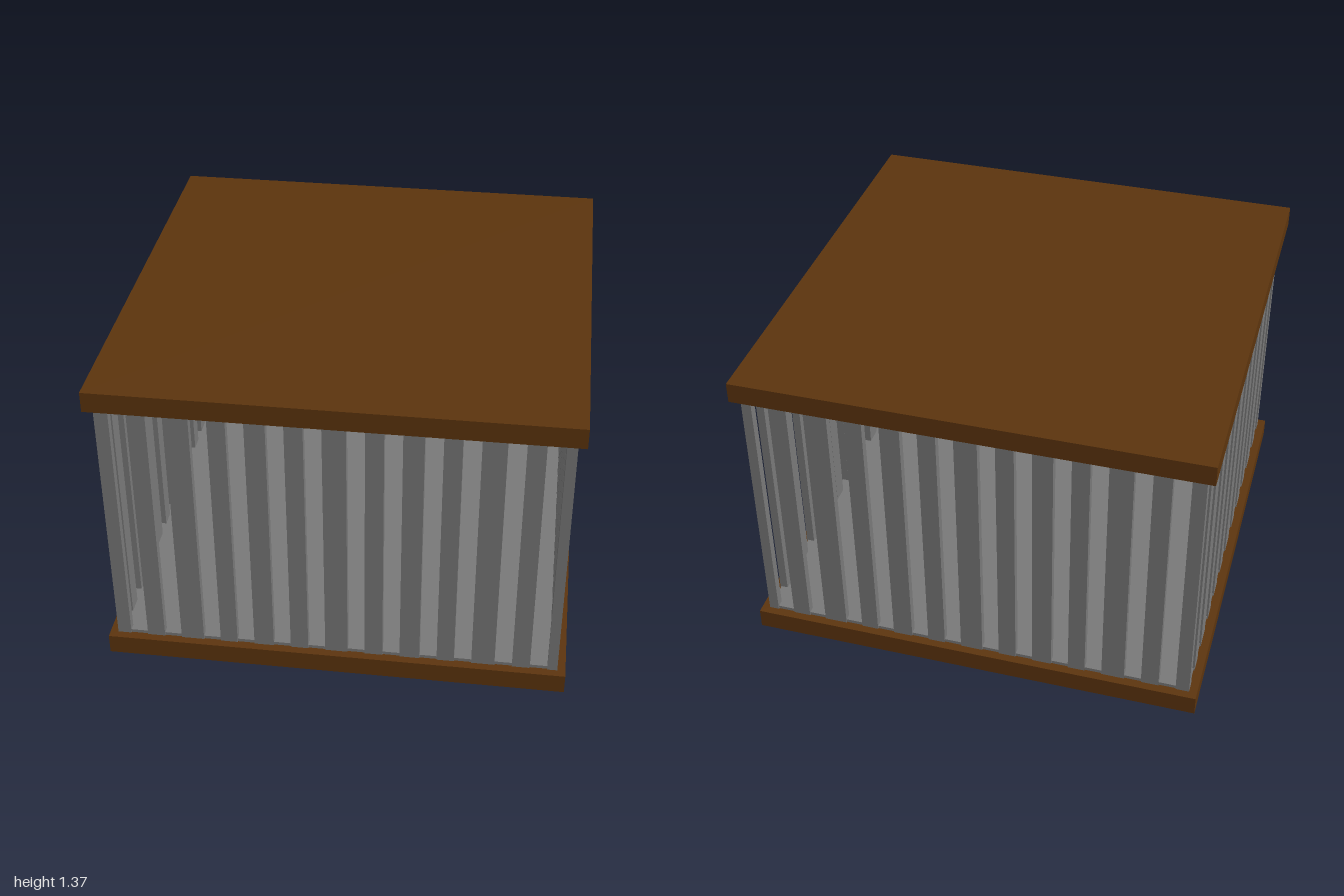
import * as THREE from 'three';

export function createModel() {
  const wood = new THREE.MeshStandardMaterial({ color: 0x5c340d });
  wood.name = 'brown wood';
  const metal = new THREE.MeshStandardMaterial({ color: 0x787878 });
  metal.name = 'grey metal';

  const model = new THREE.Group();
  model.name = 'cage';

  const addBox = (parent, name, material, size, position) => {
    const mesh = new THREE.Mesh(new THREE.BoxGeometry(...size), material);
    mesh.name = name;
    mesh.position.set(...position);
    parent.add(mesh);
  };

  // Wooden base and roof
  addBox(model, 'base', wood, [2, 0.09, 2], [0, 0.045, 0]);
  addBox(model, 'roof', wood, [2, 0.09, 2], [0, 1.325, 0]);

  // Metal floor and ceiling plates
  const outer = 0.965;
  addBox(model, 'floor', metal, [1.92, 0.015, 1.92], [0, 0.0975, 0]);
  addBox(model, 'ceiling', metal, [1.92, 0.012, 1.92], [0, 1.274, 0]);

  // Bar edges follow from widths separated by equal gaps
  const gap = 0.075;
  const widths = [0.098, 0.077, 0.086, 0.075, 0.1, 0.077];
  const bars = [];
  let edge = -widths[0] / 2;
  for (const width of widths) {
    bars.push([edge, edge + width]);
    edge += width + gap;
  }
  bars.push([edge, outer]);
  const pattern = [...bars.slice(1).map(([a, b]) => [-b, -a]), ...bars];

  // Four barred walls, with the front and back bars shifted slightly in x
  const depth = 0.035;
  const height = 1.19;
  const mid = outer - depth / 2;
  const clamp = (v) => THREE.MathUtils.clamp(v, -outer, outer);
  for (const side of [1, -1]) {
    const xWall = new THREE.Group();
    const zWall = new THREE.Group();
    xWall.name = side > 0 ? 'leftBars' : 'rightBars';
    zWall.name = side > 0 ? 'frontBars' : 'backBars';
    model.add(xWall, zWall);
    for (const [a, b] of pattern) {
      addBox(xWall, 'bar', metal, [depth, height, b - a], [side * mid, 0.685, (a + b) / 2]);
      const left = a <= -outer + 0.001 ? -outer : a + 0.008;
      const right = clamp(b + 0.008);
      addBox(zWall, 'bar', metal, [right - left, height, depth], [(left + right) / 2, 0.685, side * mid]);
    }
  }
  return model;
}
